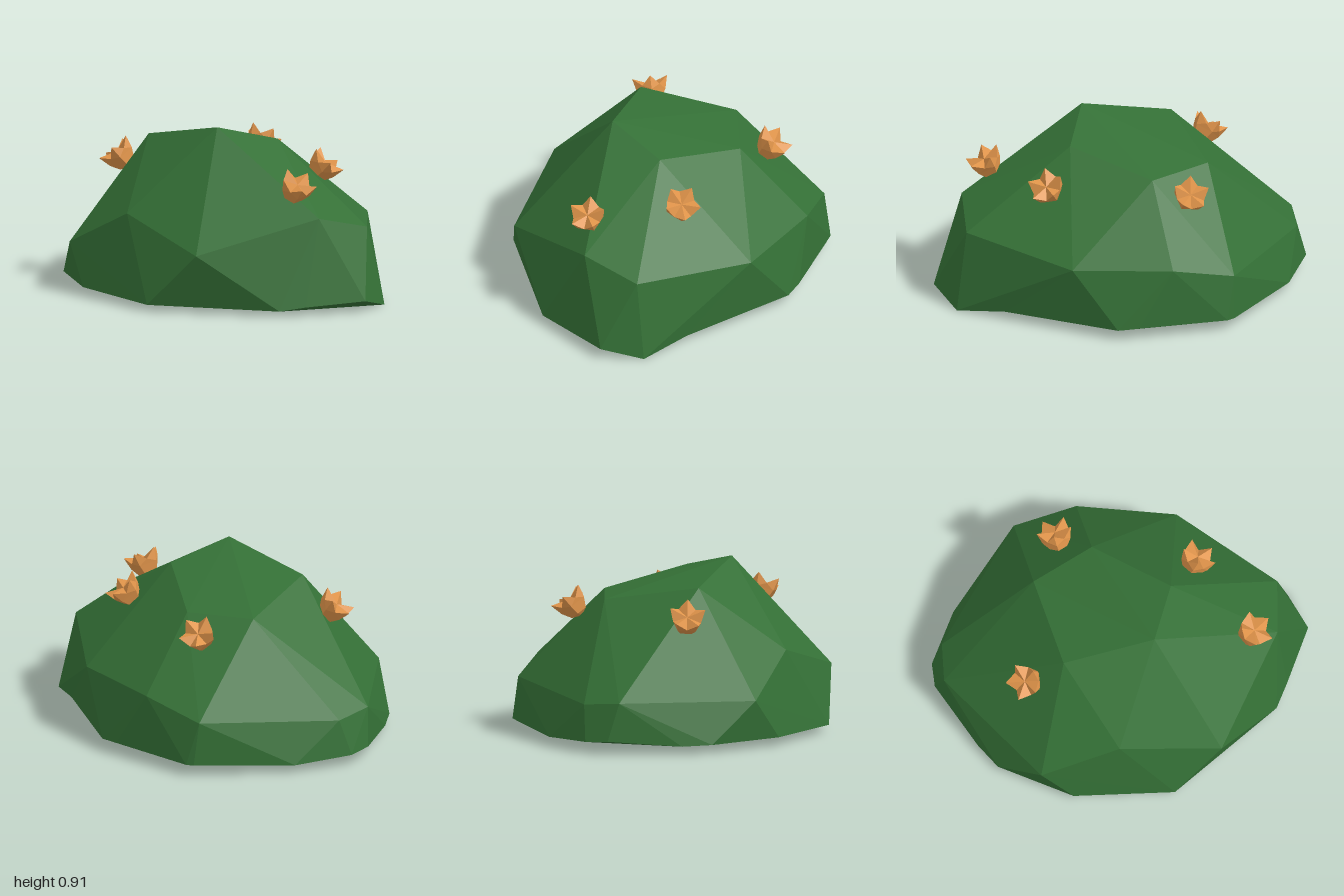
import * as THREE from 'three';
import { ConvexGeometry } from 'three/addons/geometries/ConvexGeometry.js';

const green = new THREE.MeshStandardMaterial({ color: 0x347036, flatShading: true });
const orange = new THREE.MeshStandardMaterial({ color: 0xe0944a, flatShading: true, side: THREE.DoubleSide });

// Faceted mound: ground ring, shoulder and crown corners
const ground = [
  [0.02, 0.07, -1], [0.15, 0.06, -0.99], [0.42, 0.045, -0.82], [0.78, 0.06, -0.42],
  [0.795, 0.06, -0.38], [0.775, 0.065, 0.1], [0.75, 0.055, 0.21], [0.35, 0.045, 0.72],
  [0.18, 0.045, 0.935], [-0.04, 0.06, 1], [-0.32, 0.045, 0.83], [-0.44, 0.03, 0.75],
  [-0.8, 0.035, 0.13], [-0.72, 0.045, -0.4], [-0.48, 0.045, -0.76], [-0.34, 0.04, -0.84],
];
const shoulder = [
  [0.12, 0.42, 0.865], [0.61, 0.37, 0.42], [0.76, 0.37, -0.09], [0.745, 0.29, -0.43],
  [0.18, 0.25, -0.93], [-0.03, 0.27, -0.96], [-0.65, 0.26, -0.56],
  [-0.66, 0.47, -0.14], [-0.71, 0.32, 0.4], [-0.19, 0.5, 0.805],
];
const crown = [
  [-0.25, 0.91, 0.13], [-0.25, 0.81, -0.36], [0.06, 0.823, 0.28],
  [0.39, 0.73, -0.08], [0.26, 0.73, -0.42],
];

function bushGeometry() {
  const points = [...ground, ...shoulder, ...crown].map((p) => new THREE.Vector3(...p));
  const geo = new ConvexGeometry(points);
  // pull the front foot down to the ground
  const pos = geo.attributes.position;
  for (let i = 0; i < pos.count; i++) {
    const foot = Math.hypot(pos.getX(i) - 0.18, pos.getY(i) - 0.045, pos.getZ(i) - 0.935) < 0.01;
    if (foot) pos.setY(i, 0);
  }
  geo.computeVertexNormals();
  return geo;
}

// Five-pointed cup with a pentagonal outline, its rim alternating tips and notches
function flowerGeometry() {
  const pos = [];
  const at = (i, r, h) => {
    const a = (i * Math.PI) / 5;
    return [r * Math.sin(a), h, r * Math.cos(a)];
  };
  const rim = (i) => (i % 2 === 0 ? at(i, 0.098, 0.055) : at(i, 0.078, 0.01));
  const tri = (a, b, c) => pos.push(...a, ...b, ...c);
  const bottom = [0, -0.085, 0], heart = [0, 0.022, 0];
  for (let i = 0; i < 10; i += 2) {
    const b0 = at(i, 0.05, -0.065), b1 = at(i + 2, 0.05, -0.065);
    const m0 = at(i, 0.08, -0.015), m1 = at(i + 2, 0.08, -0.015);
    tri(bottom, b1, b0);
    tri(b0, b1, m1);
    tri(b0, m1, m0);
    // petal sides and inner faces
    tri(m0, rim(i + 1), rim(i));
    tri(m0, m1, rim(i + 1));
    tri(m1, rim(i + 2), rim(i + 1));
    tri(heart, rim(i), rim(i + 1));
    tri(heart, rim(i + 1), rim(i + 2));
  }
  const geo = new THREE.BufferGeometry();
  geo.setAttribute('position', new THREE.Float32BufferAttribute(pos, 3));
  geo.computeVertexNormals();
  return geo;
}

export function createModel() {
  const model = new THREE.Group();
  model.name = 'floweringBush';

  const bush = new THREE.Mesh(bushGeometry(), green);
  bush.name = 'bush';
  model.add(bush);

  // Blossoms: position, facing direction, spin
  const blossoms = [
    [[-0.215, 0.65, 0.665], [-0.06, 0.8, 0.45], Math.PI],
    [[0.23, 0.675, 0.45], [0.36, 0.72, 0.46], 0.5],
    [[0.51, 0.67, -0.25], [0.6, 0.75, -0.1], 0.85],
    [[-0.26, 0.67, -0.56], [-0.3, 0.7, -0.55], 0.4],
  ];
  const geo = flowerGeometry();
  const up = new THREE.Vector3(0, 1, 0);
  blossoms.forEach(([p, dir, spin], i) => {
    const flower = new THREE.Mesh(geo, orange);
    flower.name = `flower${i + 1}`;
    flower.position.set(...p);
    flower.quaternion.setFromUnitVectors(up, new THREE.Vector3(...dir).normalize());
    flower.rotateY(spin);
    model.add(flower);
  });
  return model;
}
